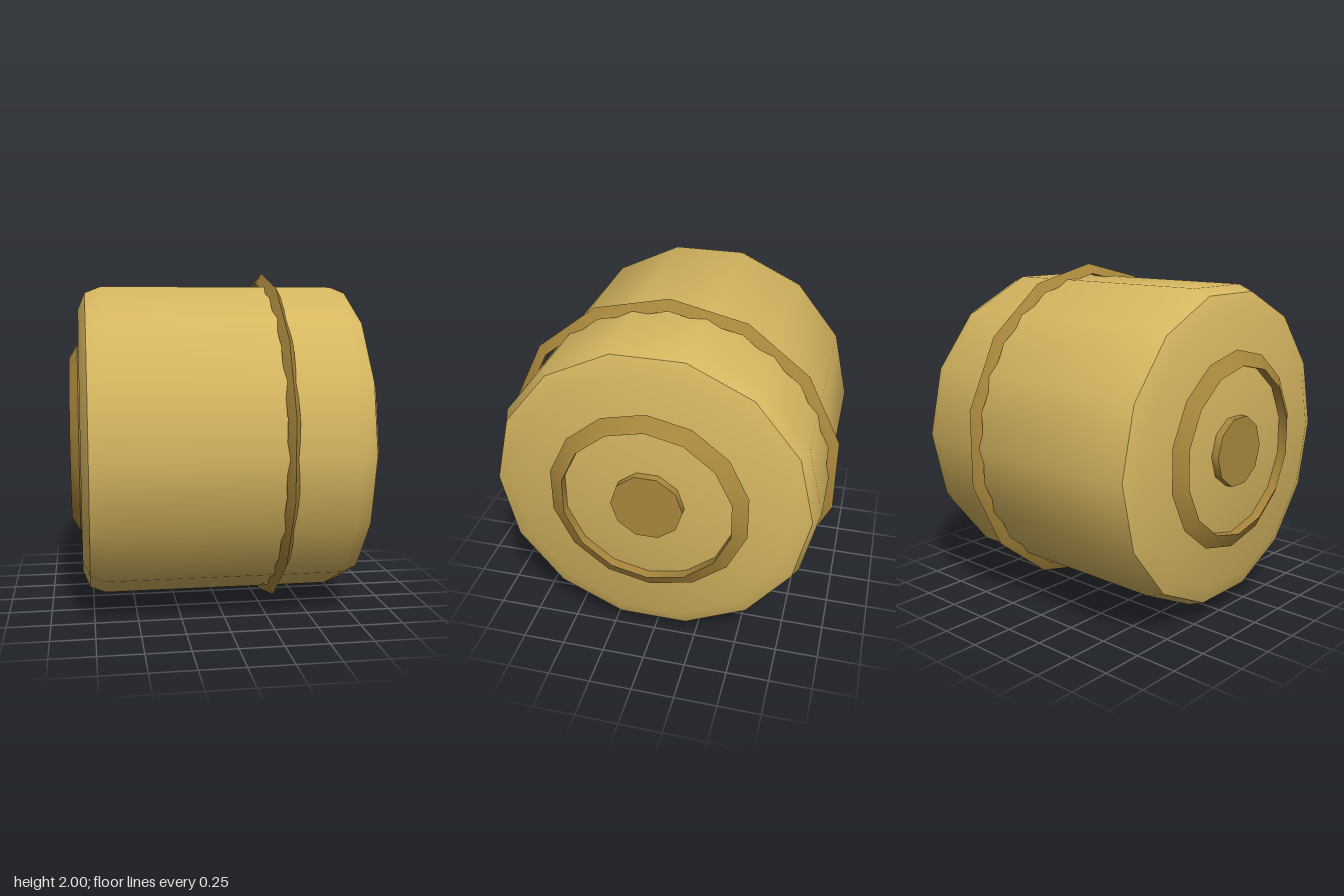
import * as THREE from 'three';
import { toCreasedNormals } from 'three/addons/utils/BufferGeometryUtils.js';

const SIDES = 14;
const CREASE = 0.7;

export function createModel() {
  const gold = new THREE.MeshStandardMaterial({ name: 'light gold', color: 0xd6b660 });
  const bronze = new THREE.MeshStandardMaterial({ name: 'dark gold', color: 0xab893d });
  const model = new THREE.Group();
  model.name = 'drum';

  const add = (name, geometry, material, x = 0) => {
    const mesh = new THREE.Mesh(toCreasedNormals(geometry, CREASE), material);
    mesh.name = name;
    mesh.position.set(x, 1, 0);
    model.add(mesh);
  };

  // Hoop of triangular section around the x axis, with a corner at the top
  const hoop = (radius, tube) =>
    new THREE.TorusGeometry(radius, tube, 3, SIDES).rotateZ(Math.PI / 2).rotateY(Math.PI / 2);

  // Barrel body with softened rims, turned around the x axis
  const half = [[0, 0.813], [0.8, 0.813], [0.9, 0.773], [0.937, 0.68]];
  const profile = [
    ...half.map(([r, h]) => new THREE.Vector2(r, -h)),
    ...half.slice().reverse().map(([r, h]) => new THREE.Vector2(r, h)),
  ];
  add('body', new THREE.LatheGeometry(profile, SIDES).rotateZ(-Math.PI / 2), gold);

  // Raised band around the body
  add('band', hoop(0.96, 0.04), bronze, 0.305);

  // Rim and central hub on both ends
  for (const [side, name] of [[1, 'left'], [-1, 'right']]) {
    add(name + 'Rim', hoop(0.518, 0.057), bronze, side * 0.821);
    add(name + 'Hub', new THREE.CylinderGeometry(0.205, 0.205, 0.1, 10).rotateZ(-Math.PI / 2), bronze, side * 0.808);
  }
  return model;
}
